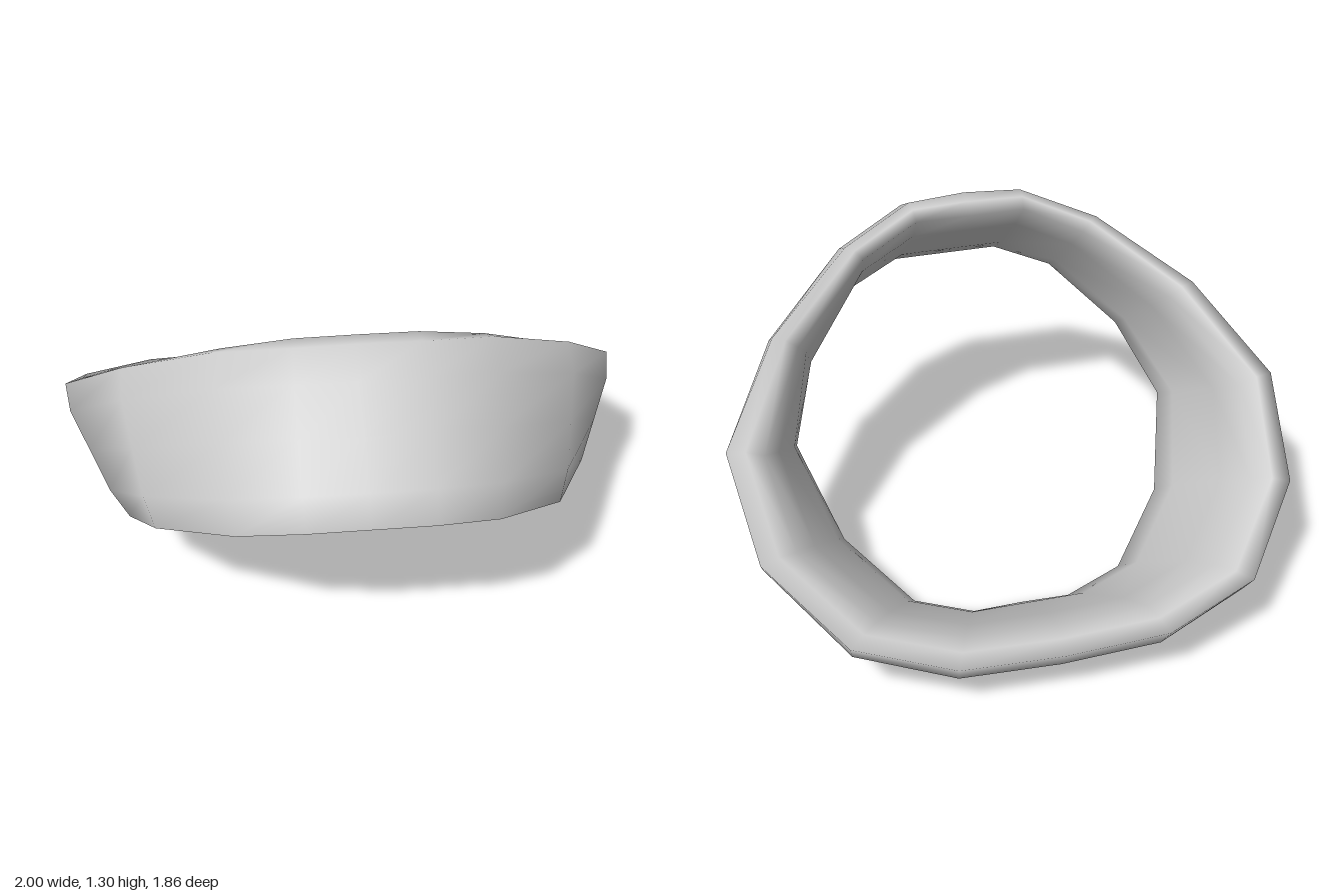
import * as THREE from 'three';

// Half outlines of the four rim edges, from front centre round the left side to back centre
const OUTER_UPPER = [
  [0, 1.305, 0.49], [0.21, 1.295, 0.48], [0.47, 1.21, 0.36], [0.78, 1.01, 0.14], [1, 0.75, -0.14],
  [0.95, 0.525, -0.5], [0.71, 0.36, -0.8], [0.37, 0.29, -0.915], [0, 0.28, -0.925],
];
const OUTER_LOWER = [
  [0, 0.9, 0.93], [0.21, 0.9, 0.93], [0.43, 0.83, 0.84], [0.69, 0.65, 0.57], [0.79, 0.45, 0.27],
  [0.69, 0.21, -0.09], [0.45, 0.06, -0.34], [0.2, 0, -0.4], [0, 0, -0.4],
];
const INNER_UPPER = [
  [0, 1.26, 0.39], [0.2, 1.26, 0.39], [0.41, 1.17, 0.33], [0.69, 0.96, 0.14], [0.87, 0.73, -0.16],
  [0.82, 0.52, -0.45], [0.6, 0.37, -0.7], [0.32, 0.32, -0.79], [0, 0.315, -0.8],
];
const INNER_LOWER = [
  [0, 0.87, 0.83], [0.2, 0.87, 0.83], [0.41, 0.8, 0.76], [0.61, 0.65, 0.5], [0.71, 0.46, 0.25],
  [0.6, 0.24, -0.07], [0.39, 0.08, -0.29], [0.18, 0.03, -0.345], [0, 0.03, -0.34],
];
const UPPER_CENTRE = new THREE.Vector3(0, 0.8, -0.22);
const LOWER_CENTRE = new THREE.Vector3(0, 0.45, 0.26);
const AXIS = new THREE.Vector3(0, 0.81, -0.58);

// Mirror a half outline into a closed loop
function closeLoop(half) {
  const left = half.map((p) => new THREE.Vector3(...p));
  const right = left.slice(1, -1).reverse().map((p) => new THREE.Vector3(-p.x, p.y, p.z));
  return [...left, ...right];
}

// Point part-way up a wall, scaled about the band's centre line
function wallPoint(lower, upper, t, swell) {
  const centre = LOWER_CENTRE.clone().lerp(UPPER_CENTRE, t);
  return lower.clone().lerp(upper, t).sub(centre).multiplyScalar(swell).add(centre);
}

// Crown of a rounded rim, raised along the band's axis
function crown(outer, inner, lift) {
  return outer.clone().lerp(inner, 0.5).addScaledVector(AXIS, lift);
}

// Cross-section: outer wall upwards, top rim, inner wall downwards, bottom rim.
// The outer wall swells most at the back and least at the sides.
function section(outerUp, outerLow, innerUp, innerLow) {
  const swell = 1.055 - 0.025 * outerLow.z - 0.03 * outerLow.x ** 2;
  return [
    outerLow,
    ...[0.2, 0.5, 0.8].map((t) => wallPoint(outerLow, outerUp, t, swell)),
    outerUp,
    crown(outerUp, innerUp, 0.02),
    innerUp,
    ...[0.75, 0.25].map((t) => wallPoint(innerLow, innerUp, t, 0.975)),
    innerLow,
    crown(outerLow, innerLow, -0.015),
  ];
}

export function createModel() {
  const group = new THREE.Group();
  group.name = 'tiltedBand';

  const [outerUp, outerLow, innerUp, innerLow] =
    [OUTER_UPPER, OUTER_LOWER, INNER_UPPER, INNER_LOWER].map(closeLoop);
  const sections = outerUp.map((p, i) => section(p, outerLow[i], innerUp[i], innerLow[i]));
  const n = sections.length;
  const m = sections[0].length;

  // Join neighbouring sections with smooth-shaded quads
  const index = [];
  for (let i = 0; i < n; i++) {
    for (let j = 0; j < m; j++) {
      const a = i * m + j;
      const b = ((i + 1) % n) * m + j;
      const c = ((i + 1) % n) * m + ((j + 1) % m);
      const d = i * m + ((j + 1) % m);
      index.push(a, b, c, a, c, d);
    }
  }
  const geometry = new THREE.BufferGeometry().setFromPoints(sections.flat());
  geometry.setIndex(index);
  geometry.computeVertexNormals();

  const band = new THREE.Mesh(geometry, new THREE.MeshStandardMaterial({ color: 0xcccccc }));
  band.name = 'band';
  group.add(band);
  return group;
}
